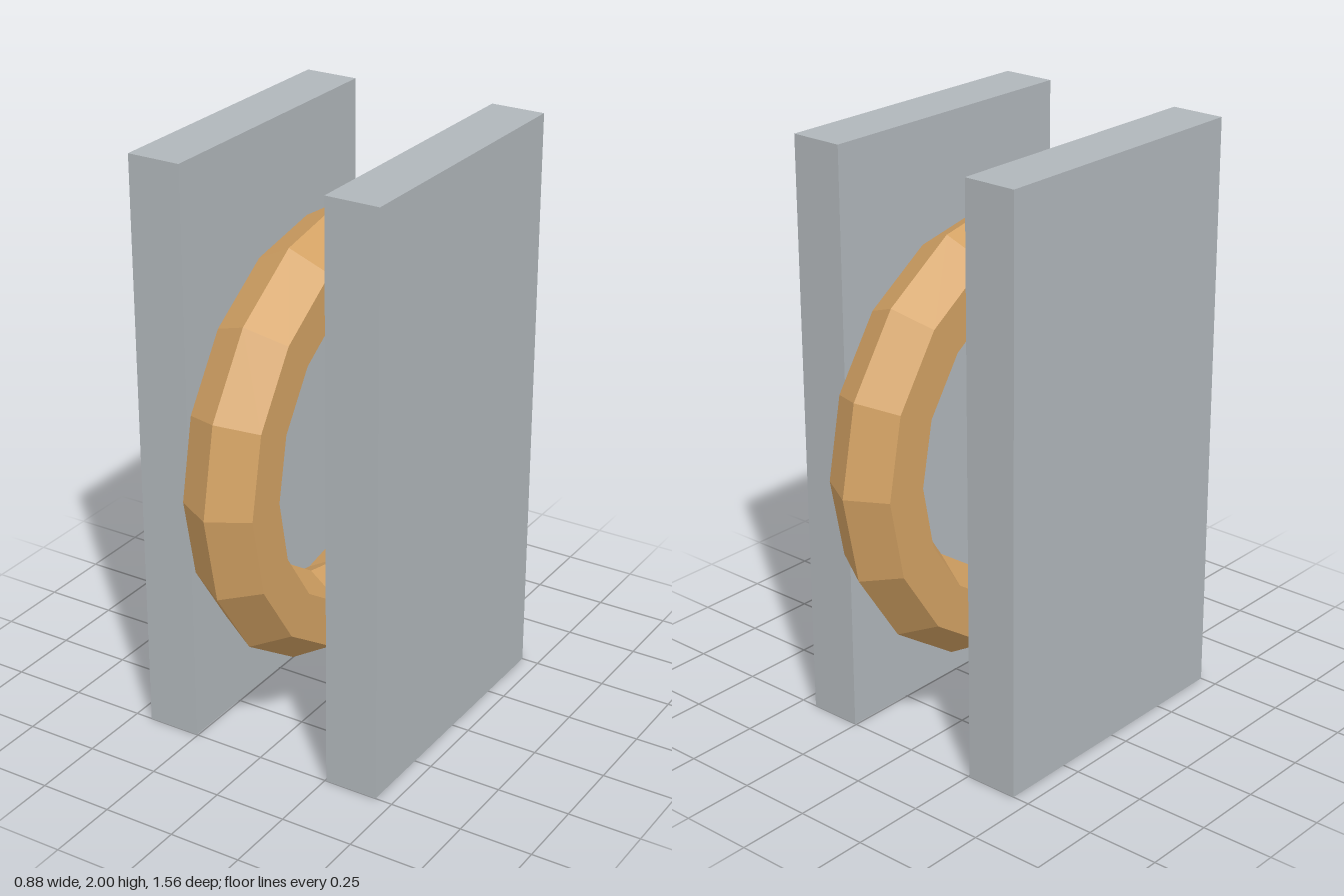
import * as THREE from 'three';

export function createModel() {
  const group = new THREE.Group();
  const grey = new THREE.MeshStandardMaterial({ color: 0xb0b6ba });
  grey.name = 'plateGrey';
  const tan = new THREE.MeshStandardMaterial({ color: 0xd2a163 });
  tan.name = 'ringTan';

  // Two upright side plates
  for (const [name, side] of [['leftPlate', 1], ['rightPlate', -1]]) {
    const plate = new THREE.Mesh(new THREE.BoxGeometry(0.185, 2, 1), grey);
    plate.name = name;
    plate.position.set(side * 0.3475, 1, 0);
    group.add(plate);
  }

  // Faceted ring standing between the plates, hexagonal in section
  const ringGeometry = new THREE.TorusGeometry(0.633, 0.147, 6, 16)
    .rotateY(Math.PI / 2)
    .toNonIndexed();
  ringGeometry.computeVertexNormals();
  const ring = new THREE.Mesh(ringGeometry, tan);
  ring.name = 'ring';
  ring.position.y = 1;
  group.add(ring);

  return group;
}
